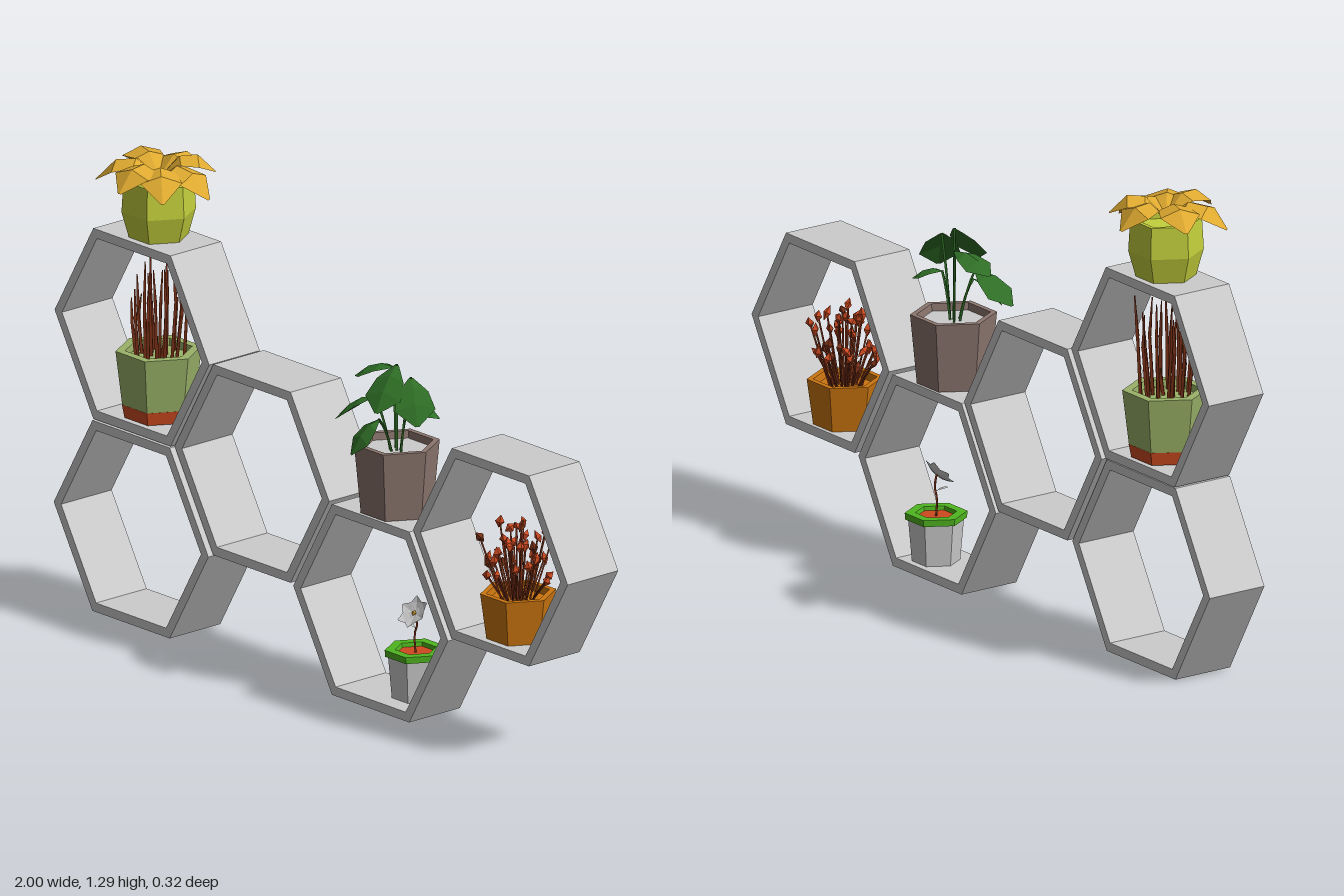
import * as THREE from 'three';

const flat = (color, side = THREE.FrontSide) => new THREE.MeshStandardMaterial({ color, side, flatShading: true });
const V = (x, y, z) => new THREE.Vector3(x, y, z);

export function createModel() {
  const model = new THREE.Group();
  const mats = {
    shelfGrey: flat(0xcccccc, THREE.DoubleSide),
    lime: flat(0xc4d03c),
    goldLeaf: flat(0xdfaa30, THREE.DoubleSide),
    sage: flat(0x9ab268),
    terracotta: flat(0xcf4a20),
    stemBrown: flat(0x7e3218),
    clayBrown: flat(0x8c766e),
    leafGreen: flat(0x2f6e26, THREE.DoubleSide),
    orange: flat(0xcc7610),
    brightGreen: flat(0x4fb520),
  };
  for (const [name, m] of Object.entries(mats)) m.name = name;

  let seed = 7;
  const rand = (a = 0, b = 1) => {
    seed = (seed * 16807) % 2147483647;
    return a + (b - a) * (seed / 2147483647);
  };

  const add = (parent, name, geo, mat, x = 0, y = 0, z = 0) => {
    const mesh = new THREE.Mesh(geo, mat);
    mesh.name = name;
    mesh.position.set(x, y, z);
    parent.add(mesh);
    return mesh;
  };
  const group = (name) => {
    const g = new THREE.Group();
    g.name = name;
    model.add(g);
    return g;
  };

  // Six-sided turned shape with corners on the x axis
  const hexLathe = (profile) =>
    new THREE.LatheGeometry(profile.map(([r, y]) => new THREE.Vector2(r, y)), 6, Math.PI / 2);

  // Thin tapered rod between two points
  const rod = (parent, name, a, b, r0, r1, mat) => {
    const d = b.clone().sub(a);
    const mesh = add(parent, name, new THREE.CylinderGeometry(r1, r0, d.length(), 4), mat);
    mesh.position.copy(a).addScaledVector(d, 0.5);
    mesh.quaternion.setFromUnitVectors(V(0, 1, 0), d.normalize());
  };

  // Folded, arched leaf from base to tip
  const leaf = (parent, name, base, tip, halfWidth, bulge, mat, fold = 0.35) => {
    const d = tip.clone().sub(base);
    const side = V(-d.z, 0, d.x).normalize();
    const pos = [], idx = [];
    [[0, 0.12], [0.32, 0.75], [0.66, 1], [1, 0.08]].forEach(([s, w], i) => {
      const c = base.clone().addScaledVector(d, s);
      c.y += bulge * 4 * s * (1 - s);
      for (const k of [-1, 0, 1]) {
        const p = c.clone().addScaledVector(side, k * w * halfWidth);
        p.y -= Math.abs(k) * w * halfWidth * fold;
        pos.push(p.x, p.y, p.z);
      }
      if (i < 3) for (const j of [0, 1]) {
        const a = i * 3 + j;
        idx.push(a, a + 1, a + 3, a + 1, a + 4, a + 3);
      }
    });
    const geo = new THREE.BufferGeometry();
    geo.setAttribute('position', new THREE.Float32BufferAttribute(pos, 3));
    geo.setIndex(idx);
    geo.computeVertexNormals();
    add(parent, name, geo, mat);
  };

  // Hexagonal shelf frames: centre x, centre y, back z
  const R = 0.305, IR = 0.276;
  const corners = (r) => Array.from({ length: 6 }, (_, i) =>
    new THREE.Vector2(r * Math.cos(i * Math.PI / 3), r * Math.sin(i * Math.PI / 3)));
  const shelf = group('shelf');
  const frameShape = new THREE.Shape(corners(R));
  frameShape.holes.push(new THREE.Path(corners(IR)));
  const frameGeo = new THREE.ExtrudeGeometry(frameShape, { depth: 0.178, bevelEnabled: false });
  for (const [x, y, z] of [[-0.695, 0.8, -0.093], [-0.695, 0.268, -0.09], [-0.235, 0.535, -0.105],
    [0.23, 0.264, -0.108], [0.695, 0.535, -0.115]]) add(shelf, 'hexFrame', frameGeo, mats.shelfGrey, x, y, z);

  // Golden plant in a lime pot on top
  const gold = group('goldenPlant');
  gold.position.set(-0.69, 1.063, -0.005);
  add(gold, 'limePot', hexLathe([[0, 0], [0.08, 0], [0.1, 0.072], [0.095, 0.158], [0.082, 0.158], [0.08, 0.135], [0, 0.135]]), mats.lime);
  for (const [a, len, drop] of [[1.63, 0.155, 0.16], [0.93, 0.15, 0.18], [0.18, 0.168, 0.14], [-0.67, 0.172, 0.15],
    [-1.4, 0.167, 0.165], [-2.53, 0.17, 0.15], [2.85, 0.162, 0.17]]) {
    const c = Math.cos(a), s = -Math.sin(a);
    leaf(gold, 'goldLeaf', V(c * 0.01, 0.17, s * 0.01), V(c * len, drop - 0.005, s * len), 0.055, 0.055, mats.goldLeaf);
  }

  // Reed plant in a sage pot on a red saucer
  const reeds = group('reedPlant');
  reeds.position.set(-0.69, 0.565, -0.005);
  add(reeds, 'redSaucer', hexLathe([[0, 0], [0.092, 0], [0.099, 0.036], [0, 0.036]]), mats.terracotta);
  add(reeds, 'sagePot', hexLathe([[0, 0.034], [0.098, 0.034], [0.116, 0.185], [0.09, 0.185], [0.088, 0.165], [0, 0.165]]), mats.sage);
  for (let i = 0; i < 20; i++) {
    const a = i * 2.4, r = 0.07 * Math.sqrt((i + 0.5) / 20), h = rand(0.08, 0.29);
    const p = V(r * Math.cos(a), 0.16, r * Math.sin(a));
    const q = V(p.x * 1.2 + rand(-0.01, 0.01), 0.16 + h * 0.6, p.z * 1.1);
    const t = V(q.x + rand(-0.015, 0.015), 0.16 + h, q.z + rand(-0.01, 0.01));
    rod(reeds, 'reed', p, q, 0.006, 0.005, mats.stemBrown);
    rod(reeds, 'reedTip', q, t, 0.006, 0.002, mats.stemBrown);
  }

  // Broad-leaved plant in a brown pot
  const broad = group('broadLeafPlant');
  add(broad, 'brownPot', hexLathe([[0, 0], [0.097, 0], [0.115, 0.19], [0.098, 0.19], [0.095, 0.165]]), mats.clayBrown, 0.233, 0.53, -0.02);
  add(broad, 'greySoil', hexLathe([[0.097, 0], [0, 0]]), mats.shelfGrey, 0.233, 0.7, -0.02);
  for (const [b, t, w, bulge] of [
    [[0.185, 0.91, -0.05], [0.07, 0.865, -0.02], 0.05, 0.02],
    [[0.19, 0.845, 0.02], [0.08, 0.765, 0.06], 0.055, 0.02],
    [[0.24, 0.8, 0.05], [0.22, 0.715, 0.13], 0.042, 0.02],
    [[0.255, 0.945, 0], [0.285, 0.84, 0.1], 0.055, 0.015],
    [[0.305, 0.92, -0.005], [0.375, 0.81, 0.035], 0.055, 0.02],
    [[0.27, 0.83, -0.03], [0.34, 0.8, -0.075], 0.035, 0.015],
  ]) {
    const base = V(...b), root = V(0.233 + (b[0] - 0.233) * 0.3, 0.7, -0.02 + (b[2] + 0.02) * 0.3);
    const mid = V(root.x * 0.6 + base.x * 0.4, (root.y + base.y) / 2 + 0.02, root.z * 0.6 + base.z * 0.4);
    add(broad, 'leafStem', new THREE.TubeGeometry(new THREE.QuadraticBezierCurve3(root, mid, base), 5, 0.004, 4), mats.leafGreen);
    leaf(broad, 'broadLeaf', base, V(...t), w, bulge, mats.leafGreen);
  }

  // Red bushy plant in an orange pot
  const bush = group('redBush');
  bush.position.set(0.7, 0.296, -0.03);
  add(bush, 'orangePot', hexLathe([[0, 0], [0.085, 0], [0.102, 0.125], [0.085, 0.125], [0.082, 0.105], [0, 0.105]]), mats.orange);
  const budGeo = new THREE.OctahedronGeometry(0.017);
  for (let i = 0; i < 38; i++) {
    const a = i * 2.4, r = 0.11 * Math.sqrt((i + 0.5) / 38);
    const h = 0.15 + rand(0.01, 0.165) * (1.1 - r * 4);
    const root = V(0.4 * r * Math.cos(a), 0.1, 0.4 * r * Math.sin(a));
    const tip = V(r * Math.cos(a), h + 0.02, r * 0.9 * Math.sin(a));
    rod(bush, 'bushStem', root, tip, 0.003, 0.003, mats.stemBrown);
    const bud = add(bush, 'bud', budGeo, i % 5 ? mats.terracotta : mats.stemBrown, tip.x, tip.y, tip.z);
    bud.scale.set(0.75, rand(0.9, 1.3), 0.6);
    bud.rotation.set(rand(-0.6, 0.6), rand(0, 3), rand(-0.6, 0.6));
  }

  // Small white flower in a grey pot with a green rim
  const flower = group('whiteFlowerPlant');
  flower.position.set(0.29, 0.026, -0.035);
  add(flower, 'greyPot', hexLathe([[0, 0], [0.064, 0], [0.074, 0.115]]), mats.shelfGrey);
  add(flower, 'greenRim', hexLathe([[0.05, 0.115], [0.082, 0.115], [0.083, 0.133], [0.055, 0.133], [0.052, 0.12]]), mats.brightGreen);
  add(flower, 'redSoil', hexLathe([[0.056, 0.122], [0, 0.122]]), mats.terracotta);
  const stem = new THREE.CatmullRomCurve3([V(0, 0.12, 0), V(-0.004, 0.17, 0), V(0.006, 0.2, 0), V(0.004, 0.235, 0.005)]);
  add(flower, 'flowerStem', new THREE.TubeGeometry(stem, 6, 0.0035, 4), mats.stemBrown);
  leaf(flower, 'stemLeaf', V(0, 0.19, 0), V(-0.035, 0.208, 0.015), 0.012, 0.006, mats.shelfGrey);
  const bloom = new THREE.Group();
  bloom.name = 'bloom';
  bloom.position.set(0.006, 0.232, 0.008);
  bloom.rotation.x = 0.85;
  flower.add(bloom);
  for (let i = 0; i < 6; i++) {
    const a = i * Math.PI / 3 + 0.2;
    leaf(bloom, 'petal', V(0, 0, 0), V(0.047 * Math.cos(a), 0.012, 0.047 * Math.sin(a)), 0.017, -0.004, mats.shelfGrey, -0.2);
  }
  add(bloom, 'flowerCentre', new THREE.OctahedronGeometry(0.008), mats.goldLeaf, 0, 0.004, 0);

  return model;
}
